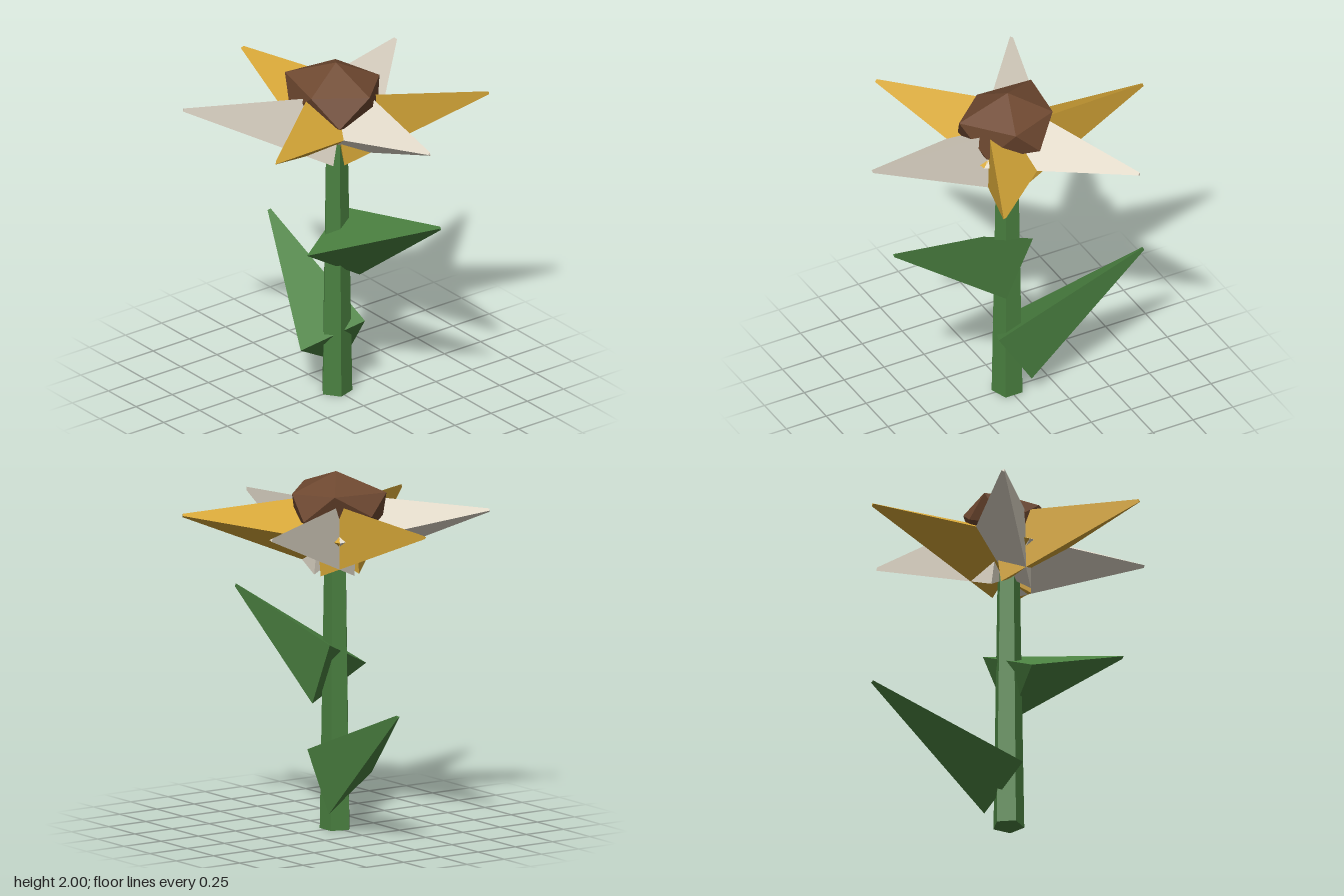
import * as THREE from 'three';
import { ConvexGeometry } from 'three/addons/geometries/ConvexGeometry.js';

const material = (name, color) => {
  const m = new THREE.MeshStandardMaterial({ color, flatShading: true });
  m.name = name;
  return m;
};

const rad = THREE.MathUtils.degToRad;

// Three-sided blade whose base is centred on the origin and whose blunt tip
// points to +x (side = 1) or -x (side = -1), with one ridge towards +z.
function bladeGeometry(side, radius, length, lift, yaw = 0) {
  const g = new THREE.CylinderGeometry(0.011, radius, length, 3);
  g.translate(0, length / 2, 0);
  g.rotateZ(-side * Math.PI / 2);
  g.rotateY(side * rad(yaw));
  g.rotateZ(side * rad(lift));
  return g;
}

export function createModel() {
  const model = new THREE.Group();
  model.name = 'flower';

  const green = material('leaf green', 0x4a8040);
  const yellow = material('petal yellow', 0xd4a537);
  const cream = material('petal cream', 0xe0d8c8);
  const brown = material('seed brown', 0x6e4830);

  const add = (name, geometry, mat, y = 0) => {
    const mesh = new THREE.Mesh(geometry, mat);
    mesh.name = name;
    mesh.position.y = y;
    model.add(mesh);
    return mesh;
  };

  // Five-sided tapering stem
  add('stem', new THREE.CylinderGeometry(0.063, 0.09, 1.65, 5), green, 0.825);

  // Leaves, one on each side, swept slightly backwards
  add('upperLeaf', bladeGeometry(1, 0.225, 0.87, 25.3, 8.2), green, 0.882);
  add('lowerLeaf', bladeGeometry(-1, 0.225, 0.925, 32, 8.2), green, 0.278);

  // Six petals of alternating colour, in three mirrored pairs
  const creamPetal = bladeGeometry(1, 0.25, 0.855, 8.2);
  const yellowPetal = bladeGeometry(-1, 0.25, 0.855, 8.2);
  for (let i = 0; i < 3; i++) {
    const turn = i * Math.PI * 2 / 3;
    add('creamPetal' + (i + 1), creamPetal, cream, 1.643).rotation.y = turn;
    add('yellowPetal' + (i + 1), yellowPetal, yellow, 1.643).rotation.y = turn;
  }

  // Irregular faceted seed head: crown, upper ring, lower ring, underside
  const headPoints = [
    [0, 2, 0],
    [0.305, 1.9, 0], [0.08, 1.885, -0.24], [-0.2, 1.9, -0.15], [-0.24, 1.9, 0.17], [0.07, 1.87, 0.225],
    [0.23, 1.72, 0.15], [0.2, 1.7, -0.13], [-0.06, 1.75, -0.26], [-0.27, 1.78, 0.05], [-0.14, 1.72, 0.21],
    [0, 1.6, 0],
  ].map((p) => new THREE.Vector3(...p));
  add('seedHead', new ConvexGeometry(headPoints), brown);

  return model;
}
